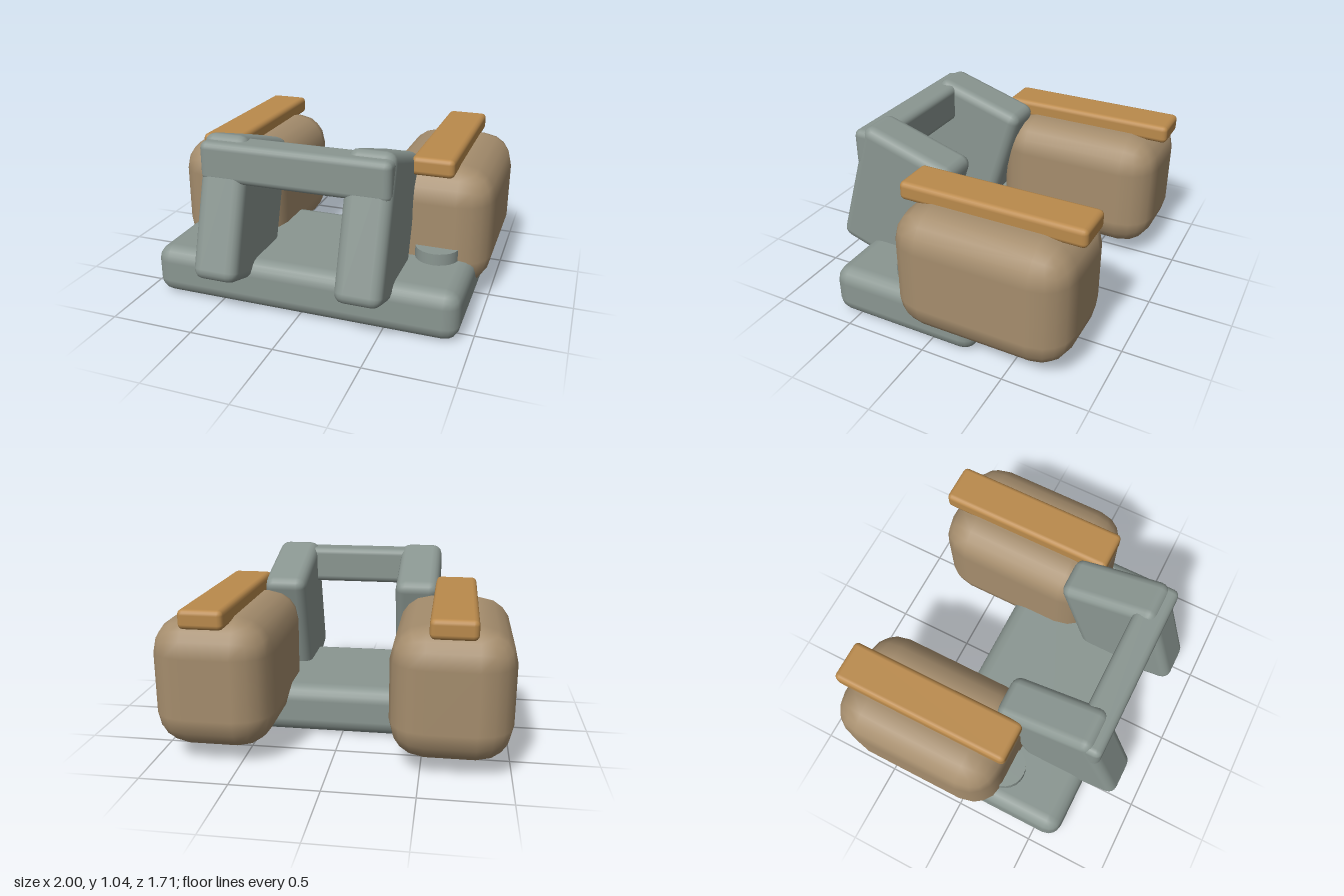
import * as THREE from 'three';
import { RoundedBoxGeometry } from 'three/addons/geometries/RoundedBoxGeometry.js';

function material(name, color) {
  const m = new THREE.MeshStandardMaterial({ color });
  m.name = name;
  return m;
}

export function createModel() {
  const grey = material('grey metal', 0x8a9691);
  const tan = material('tan shell', 0xa58d6d);
  const orange = material('orange trim', 0xba8a4c);

  const model = new THREE.Group();
  model.name = 'model';

  const add = (name, geometry, mat, x, y, z) => {
    const mesh = new THREE.Mesh(geometry, mat);
    mesh.name = name;
    mesh.position.set(x, y, z);
    model.add(mesh);
    return mesh;
  };
  // Box with rounded edges
  const block = (name, [w, h, d], radius, mat, x, y, z, segments = 2) =>
    add(name, new RoundedBoxGeometry(w, h, d, segments, radius), mat, x, y, z);

  // Base slab and the bar joining the uprights
  block('base', [1.86, 0.3, 0.93], 0.09, grey, 0, 0.15, 0.185);
  block('crossbar', [1.1, 0.23, 0.19], 0.04, grey, 0, 0.905, 0.605);

  for (const [side, s] of [['left', 1], ['right', -1]]) {
    // Upright leaning back
    const upright = block(side + 'Upright', [0.27, 0.832, 0.612], 0.06, grey, s * 0.42, 0.573, 0.457);
    upright.rotation.x = -0.3;

    // Side pod with its top rail
    block(side + 'Pod', [0.68, 0.75, 1.055], 0.2, tan, s * 0.66, 0.455, -0.3075);
    block(side + 'Rail', [0.25, 0.11, 1.09], 0.03, orange, s * 0.66, 0.855, -0.31);

    // Round pivot between base and pod
    add(side + 'Pivot', new THREE.CylinderGeometry(0.13, 0.13, 0.17, 24), grey, s * 0.705, 0.285, 0.185);
  }

  return model;
}
